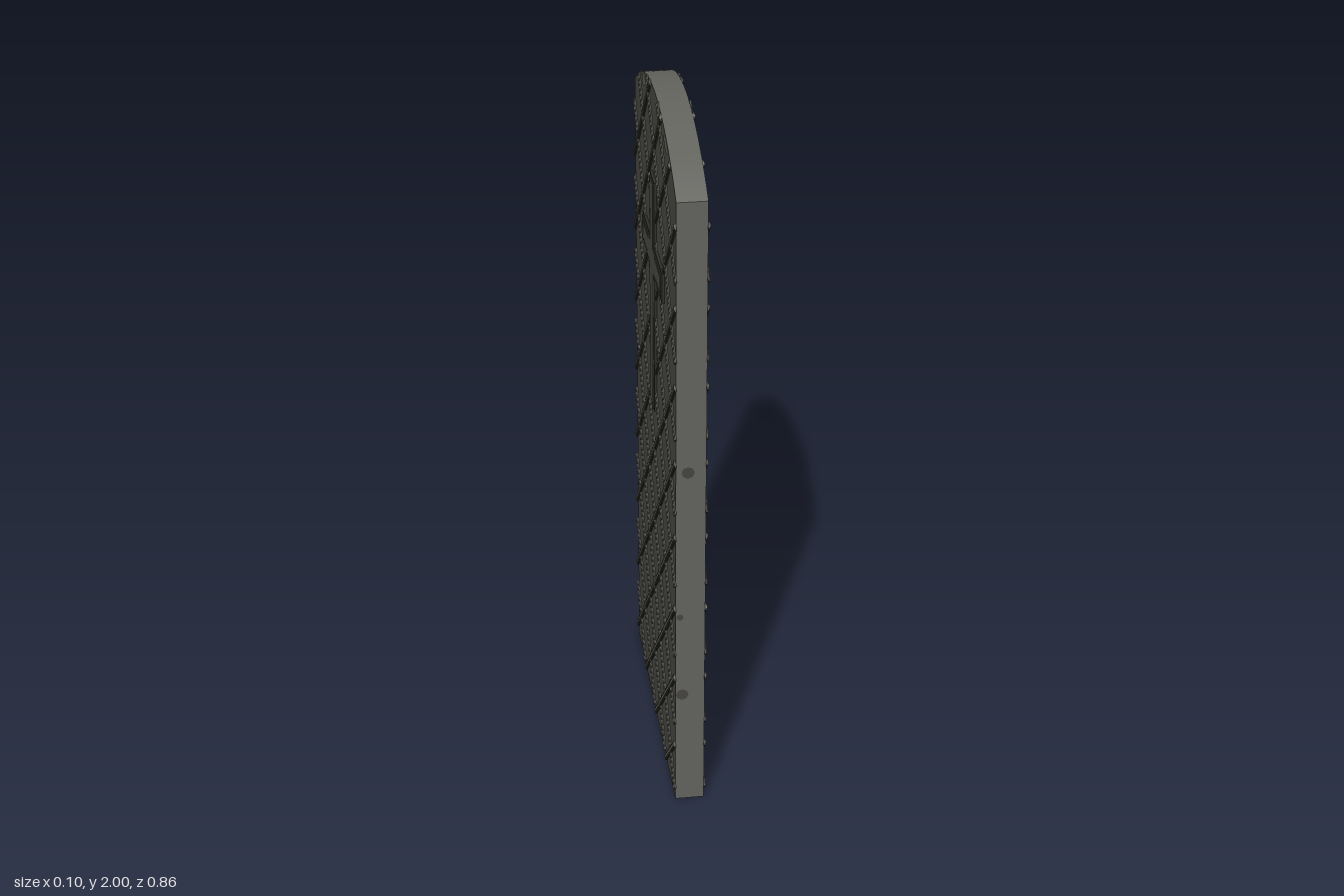
import * as THREE from 'three';

const HALF_W = 0.425, HALF_T = 0.041, RADIUS = 0.76, CENTRE_Y = 1.24;

const mat = (name, color) => {
  const m = new THREE.MeshStandardMaterial({ color });
  m.name = name;
  return m;
};

// Outline test of the arched slab
const inside = (x, y) => Math.abs(x) <= HALF_W && y >= 0.01 &&
  (y <= CENTRE_Y || x * x + (y - CENTRE_Y) ** 2 <= RADIUS * RADIUS);

export function createModel() {
  const face = mat('darkStone', 0x464540);
  const side = mat('greyStone', 0x63635e);
  const groove = mat('grooveShadow', 0x30302a);
  const worn = mat('wornStone', 0x5d5d52);
  const model = new THREE.Group();
  model.name = 'headstone';
  const stone = new THREE.Group();
  stone.rotation.y = Math.PI / 2;
  model.add(stone);

  const add = (parent, name, geometry, material) => {
    const mesh = new THREE.Mesh(geometry, material);
    mesh.name = name;
    parent.add(mesh);
    return mesh;
  };
  const box = (parent, name, w, h, d, x, y, z, material, angle = 0) => {
    const mesh = add(parent, name, new THREE.BoxGeometry(w, h, d), material);
    mesh.position.set(x, y, z);
    mesh.rotation.z = angle;
  };

  // Slab with an arched top
  const a = Math.acos(HALF_W / RADIUS);
  const outline = new THREE.Shape();
  outline.moveTo(-HALF_W, 0);
  outline.lineTo(HALF_W, 0);
  outline.absarc(0, CENTRE_Y, RADIUS, a, Math.PI - a, false);
  outline.closePath();
  const slab = new THREE.ExtrudeGeometry(outline, { depth: HALF_T * 2, bevelEnabled: false, curveSegments: 24 });
  slab.translate(0, 0, -HALF_T);
  add(stone, 'slab', slab, [face, side]);

  // Cross outline, grown or shrunk by an inset
  const crossShape = (i) => {
    const u = 0.042 - i, w = 0.204 - i;
    return new THREE.Shape([
      [-u, 1.06 + i], [u, 1.06 + i], [u, 1.48 + i], [w, 1.48 + i], [w, 1.565 - i], [u, 1.565 - i],
      [u, 1.755 - i], [-u, 1.755 - i], [-u, 1.565 - i], [-w, 1.565 - i], [-w, 1.48 + i], [-u, 1.48 + i],
    ].map(([x, y]) => new THREE.Vector2(x, y)));
  };
  const crossLayer = (parent, name, inset, top, material) => {
    const g = new THREE.ExtrudeGeometry(crossShape(inset), { depth: top - HALF_T + 0.002, bevelEnabled: false });
    g.translate(0, 0, HALF_T - 0.002);
    add(parent, name, g, material);
  };

  for (const turn of [0, Math.PI]) {
    const side3d = new THREE.Group();
    side3d.name = turn ? 'backRelief' : 'frontRelief';
    side3d.rotation.y = turn;
    stone.add(side3d);

    // Diagonal lattice of raised ribs, clipped to the slab
    for (const dir of [1, -1]) {
      for (let k = -2; k <= 10; k++) {
        const hits = [];
        for (let x = -HALF_W; x <= HALF_W + 1e-6; x += 0.005) {
          if (inside(x * 0.999, k * 0.23 + dir * x)) hits.push(x);
        }
        if (hits.length < 4) continue;
        const x0 = hits[0], x1 = hits[hits.length - 1], xm = (x0 + x1) / 2;
        const length = (x1 - x0) * Math.SQRT2, ym = k * 0.23 + dir * xm, angle = dir * Math.PI / 4;
        const lift = dir * 0.0002;
        box(side3d, 'ribBase', length, 0.02, 0.005, xm, ym, HALF_T + 0.0015 + lift, groove, angle);
        box(side3d, 'rib', length, 0.009, 0.005, xm, ym, HALF_T + 0.0035 + lift, worn, angle);
      }
    }

    // Raised cross with a dark rim
    crossLayer(side3d, 'crossRim', 0, 0.0485, groove);
    crossLayer(side3d, 'cross', 0.008, 0.051, face);

    // Worn highlights on the cross
    for (const s of [-1, 1]) {
      box(side3d, 'crossArmWear', 0.12, 0.007, 0.002, s * 0.125, 1.548, 0.0508, worn);
      box(side3d, 'crossArmLowerWear', 0.07, 0.006, 0.002, s * 0.13, 1.495, 0.0508, worn);
      box(side3d, 'crossEndWear', 0.007, 0.045, 0.002, s * 0.187, 1.525, 0.0508, worn);
      box(side3d, 'crossPostWear', 0.005, 0.16, 0.002, s * 0.029, 1.64 - 0.25 * (s + 1), 0.0508, worn);

      // Chips under the arch
      const chip = add(side3d, 'archChip', new THREE.CircleGeometry(0.035, 10), worn);
      chip.scale.y = 0.5;
      chip.rotation.z = -s * 0.3;
      chip.position.set(s * 0.225, 1.943, HALF_T + 0.001);
    }
  }

  // Dark pits on the narrow edges
  for (const s of [-1, 1]) {
    for (const [x, y, r] of [[-0.008, 1.085, 0.018], [-0.022, 0.365, 0.018], [-0.029, 0.625, 0.01]]) {
      const pit = add(model, 'edgePit', new THREE.CircleGeometry(r, 8), face);
      pit.position.set(x, y, s * (HALF_W + 0.001));
      if (s < 0) pit.rotation.y = Math.PI;
    }
  }
  return model;
}
